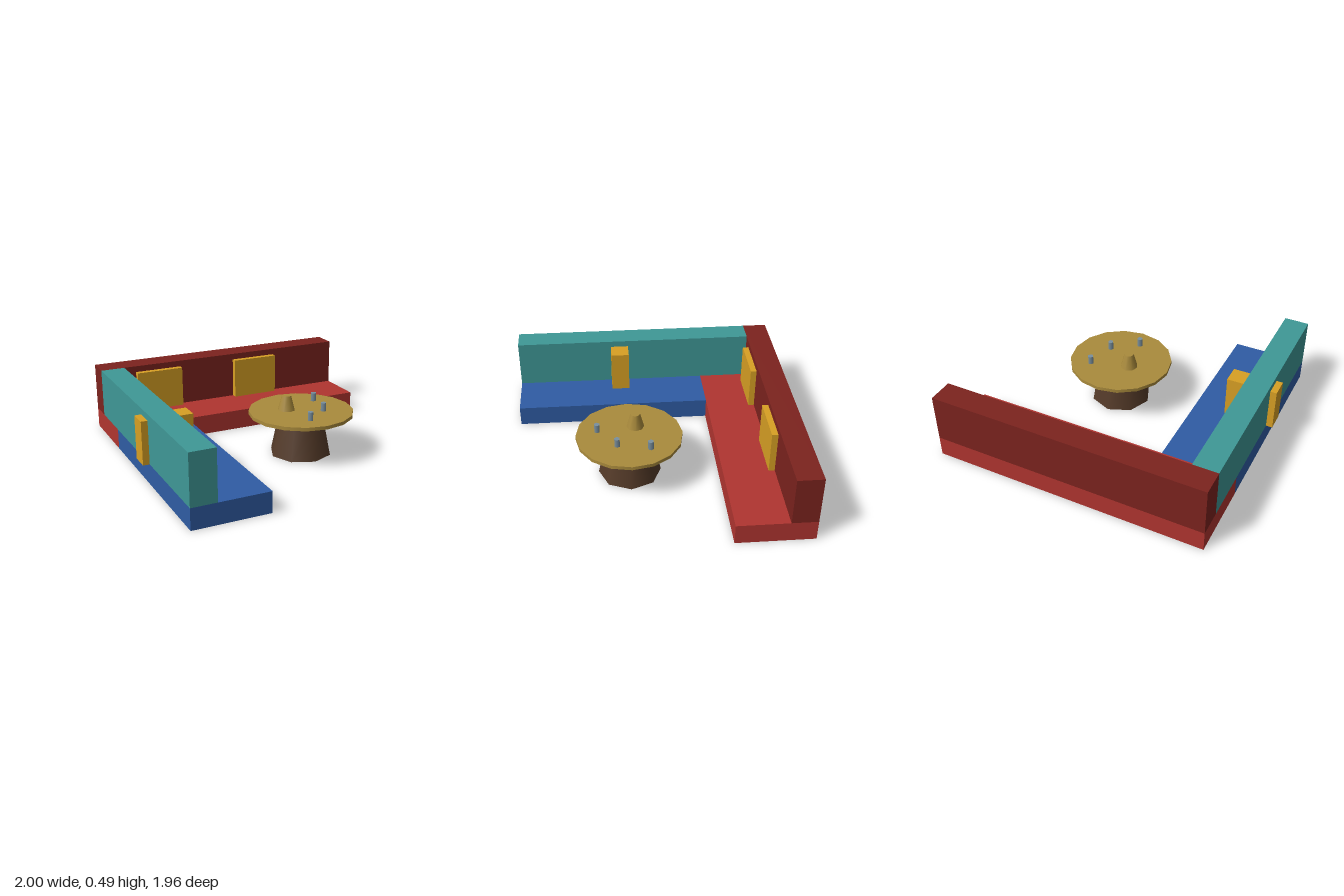
import * as THREE from 'three';

const COLORS = {
  red: 0xb03530, darkRed: 0x7c231e, blue: 0x2f5ca4, teal: 0x3f9896,
  mustard: 0xd8a024, wood: 0xaa8b3c, darkWood: 0x543a28, steel: 0x7a909e,
};
const materials = {};
for (const key in COLORS) materials[key] = new THREE.MeshStandardMaterial({ color: COLORS[key] });

// Box given by its extents along each axis
function box(name, color, [x0, x1], [y0, y1], [z0, z1]) {
  const mesh = new THREE.Mesh(new THREE.BoxGeometry(x1 - x0, y1 - y0, z1 - z0), materials[color]);
  mesh.position.set((x0 + x1) / 2, (y0 + y1) / 2, (z0 + z1) / 2);
  mesh.name = name;
  return mesh;
}

// Upright round part standing between y0 and y1
function round(name, color, rTop, rBottom, [y0, y1], sides, x = 0, z = 0) {
  const mesh = new THREE.Mesh(new THREE.CylinderGeometry(rTop, rBottom, y1 - y0, sides), materials[color]);
  mesh.position.set(x, (y0 + y1) / 2, z);
  mesh.name = name;
  return mesh;
}

export function createModel() {
  const model = new THREE.Group();
  model.name = 'cornerSeating';

  const seatY = [0, 0.145], backY = [0.145, 0.49], cushionY = [0.145, 0.445];

  // Rear bench
  const rear = new THREE.Group();
  rear.name = 'rearBench';
  rear.add(
    box('rearSeat', 'red', [-0.955, 1], seatY, [-0.98, -0.447]),
    box('rearBackrest', 'darkRed', [-0.955, 1], backY, [-0.98, -0.803]),
  );
  for (const x of [-0.69, 0.11]) {
    rear.add(box('rearCushion', 'mustard', [x, x + 0.355], cushionY, [-0.893, -0.76]));
  }

  // Side bench, its cushion poking through the backrest
  const side = new THREE.Group();
  side.name = 'sideBench';
  side.add(
    box('sideSeat', 'blue', [-0.955, -0.425], seatY, [-0.447, 0.975]),
    box('sideBackrest', 'teal', [-0.955, -0.78], backY, [-0.803, 0.975]),
    box('sideCushion', 'mustard', [-1, -0.645], cushionY, [0.13, 0.263]),
  );

  // Round table on a tapered pedestal
  const table = new THREE.Group();
  table.name = 'table';
  table.position.set(0.198, 0, 0.176);
  table.add(
    round('pedestal', 'darkWood', 0.16, 0.22, [0, 0.29], 8),
    round('tableTop', 'wood', 0.371, 0.371, [0.29, 0.315], 16),
    round('jug', 'wood', 0.034, 0.062, [0.315, 0.42], 8, -0.09, -0.048),
  );
  for (const [x, z] of [[0.177, -0.137], [0.131, 0.089], [-0.046, 0.221]]) {
    const cup = round('cup', 'steel', 0.021, 0.021, [0.315, 0.375], 6, x, z);
    cup.rotation.y = Math.PI / 6;
    table.add(cup);
  }

  model.add(rear, side, table);
  return model;
}
